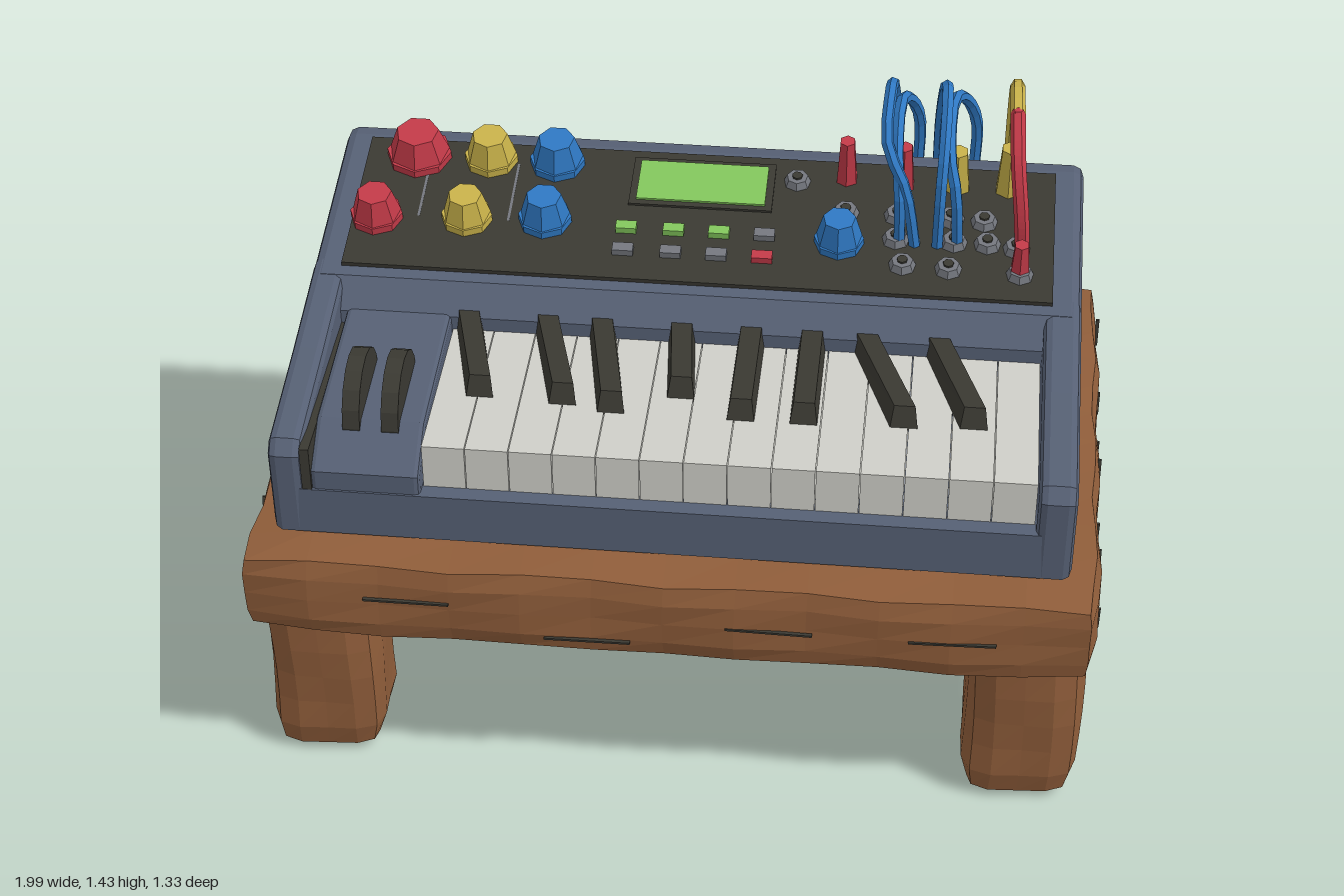
import * as THREE from 'three';

const mat = (name, color) => Object.assign(new THREE.MeshStandardMaterial({ color, flatShading: true }), { name });
const M = {
  wood: mat('wood', 0x8f5d3a),
  body: mat('slate casing', 0x566074),
  dark: mat('charcoal', 0x3a3932),
  ivory: mat('ivory', 0xcfcfc8),
  red: mat('red', 0xc23a48),
  yellow: mat('yellow', 0xc9b24a),
  blue: mat('blue', 0x2f78c2),
  green: mat('screen green', 0x82c65c),
  metal: mat('grey metal', 0x74777e),
};

function add(parent, name, geo, material, x = 0, y = 0, z = 0) {
  const m = new THREE.Mesh(geo, material);
  m.name = name;
  m.position.set(x, y, z);
  parent.add(m);
  return m;
}
const box = (w, h, d) => new THREE.BoxGeometry(w, h, d);

// Subdivided box with softened edges and slightly uneven, hewn faces
function hewn(w, h, d, n, r, wobble = 0.006) {
  const g = new THREE.BoxGeometry(w, h, d, ...n), p = g.attributes.position;
  const half = new THREE.Vector3(w / 2 - r, h / 2 - r, d / 2 - r), low = half.clone().negate();
  const v = new THREE.Vector3(), inner = new THREE.Vector3();
  for (let i = 0; i < p.count; i++) {
    v.fromBufferAttribute(p, i);
    inner.copy(v).clamp(low, half);
    v.sub(inner).normalize().multiplyScalar(r).add(inner);
    const { x, y, z } = v;
    v.x += wobble * Math.sin(17 * z + 9 * y);
    v.y += wobble * 0.6 * Math.sin(11 * x + 7 * z);
    v.z += wobble * Math.sin(13 * x + 15 * y);
    p.setXYZ(i, v.x, v.y, v.z);
  }
  g.computeVertexNormals();
  return g;
}

// Side profile of [z, y] points, run along x from x0 to x1 with bevelled ends
function profile(points, x0, x1, b = 0.02) {
  const shape = new THREE.Shape(points.map(([z, y]) => new THREE.Vector2(-z, y)));
  const g = new THREE.ExtrudeGeometry(shape, {
    depth: x1 - x0 - 2 * b, bevelEnabled: true, bevelSize: b, bevelThickness: b, bevelOffset: -b, bevelSegments: 2,
  });
  return g.rotateY(Math.PI / 2).translate(x0 + b, 0, 0);
}

function buildBench(root) {
  const bench = new THREE.Group();
  bench.name = 'bench';
  root.add(bench);
  add(bench, 'benchTop', hewn(1.98, 0.235, 1.31, [12, 4, 12], 0.045), M.wood, 0, 0.58, 0);
  for (const sx of [-1, 1]) for (const sz of [-1, 1])
    add(bench, 'leg', hewn(0.275, 0.5, 0.275, [4, 6, 4], 0.065, 0.004), M.wood, sx * 0.84, 0.253, sz * 0.43);
  for (const s of [-1, 1])
    add(bench, 'longRail', hewn(1.5, 0.16, 0.13, [8, 2, 2], 0.02, 0.004), M.wood, 0, 0.42, s * 0.42);
  add(bench, 'rightRail', hewn(0.12, 0.14, 0.66, [2, 2, 4], 0.02, 0.003), M.wood, -0.84, 0.3, 0);
  const braced = [[0.33, 0.23], [-0.33, 0.23], [-0.33, 0.475], [-0.3, 0.475], [-0.09, 0.37], [0.33, 0.37]];
  add(bench, 'leftRail', profile(braced, 0.78, 0.9, 0.012), M.wood);
  // Grooves between the planks underneath, and a few cracks on the edges
  for (let i = -6; i <= 6; i++)
    add(bench, 'plankGroove', box(1.35 - 0.1 * (i % 2), 0.006, 0.007), M.dark, 0.06 * Math.sin(i * 5), 0.459, i * 0.054);
  for (let i = 0; i < 4; i++) for (const s of [-1, 1]) {
    const x = -0.66 + i * 0.42 + 0.06 * s;
    add(bench, 'crack', box(0.2, 0.005, 0.009), M.dark, x, 0.56 + 0.045 * Math.sin(i * 4 + s), s * 0.658).rotation.z = 0.06 * Math.sin(i * 3);
  }
  for (let i = 0; i < 8; i++) for (const s of [-1, 1])
    add(bench, 'endCrack', box(0.009, 0.08 + 0.03 * Math.sin(i * 5), 0.006), M.dark,
      s * 0.992, 0.61 - 0.05 * (i % 2), -0.54 + i * 0.15).rotation.x = 0.25 * Math.sin(i * 3);
}

function buildCase(synth) {
  const main = [[0.555, 0.705], [0.555, 0.83], [0.06, 0.83], [0.06, 0.98], [0, 1.042],
    [-0.49, 1.128], [-0.53, 1.122], [-0.55, 1.09], [-0.568, 0.75], [-0.555, 0.705]];
  add(synth, 'casing', profile(main, -0.92, 0.92, 0.025), M.body);
  const cheek = [[0.555, 0.705], [0.56, 0.925], [0.53, 0.957], [0.24, 1.0], [-0.05, 1.05], [-0.05, 0.705]];
  add(synth, 'leftCheek', profile(cheek, 0.832, 0.92), M.body);
  add(synth, 'rightCheek', profile(cheek, -0.92, -0.84), M.body);
  const wheelBlock = [[0.55, 0.72], [0.55, 0.88], [0.44, 0.955], [0.04, 0.985], [0.04, 0.72]];
  add(synth, 'wheelBlock', profile(wheelBlock, -0.825, -0.572, 0.012), M.body);
  add(synth, 'cheekGap', box(0.022, 0.22, 0.5), M.dark, -0.833, 0.835, 0.304);
  add(synth, 'footPlate', box(1.8, 0.03, 1.08), M.dark, 0, 0.7, 0);
  for (const x of [-0.74, -0.65])
    add(synth, 'controlWheel', new THREE.CylinderGeometry(0.12, 0.12, 0.04, 16).rotateZ(Math.PI / 2), M.dark, x, 0.943, 0.345);
  // Connector plates on the rear
  for (const [x, y, w, h] of [[0.14, 1.0, 0.1, 0.05], [0.03, 0.99, 0.08, 0.06], [-0.07, 0.985, 0.07, 0.04], [0.03, 0.945, 0.22, 0.012], [-0.3, 0.97, 0.06, 0.025]])
    add(synth, 'rearPort', box(w, h, 0.009), M.dark, x, y, -0.568 + (y - 0.75) * 0.053).rotation.x = 0.053;
}

function buildKeys(synth) {
  const n = 14, pitch = 1.4 / n;
  for (let i = 0; i < n; i++)
    add(synth, 'whiteKey', box(pitch - 0.002, 0.125, 0.465), M.ivory, -0.57 + (i + 0.5) * pitch, 0.8825, 0.283);
  // Black keys, each leaning from its rear x to its front x
  const black = [[-0.53, -0.465, 0.32], [-0.34, -0.27, 0.33], [-0.21, -0.155, 0.35], [-0.02, 0, 0.28],
    [0.145, 0.145, 0.35], [0.29, 0.29, 0.35], [0.42, 0.52, 0.34], [0.59, 0.68, 0.33]];
  for (const [xb, xf, zf] of black) {
    const len = zf - 0.05, g = box(0.065, 0.055, len), p = g.attributes.position;
    for (let i = 0; i < p.count; i++) {
      const t = p.getZ(i) / len + 0.5, top = p.getY(i) > 0;
      p.setX(i, p.getX(i) * (top ? 0.75 : 1) + xb + (xf - xb) * t);
      if (top && t > 0.5) p.setZ(i, p.getZ(i) - 0.02);
    }
    g.computeVertexNormals();
    add(synth, 'blackKey', g, M.dark, 0, 0.967, 0.05 + len / 2);
  }
}

function buildPanel(synth) {
  // Sloping group: its local y is the panel normal
  const tilt = Math.atan(0.176), panel = new THREE.Group();
  panel.name = 'controlPanel';
  panel.position.set(0, 1.086, -0.25);
  panel.rotation.x = tilt;
  synth.add(panel);
  const put = (name, geo, material, x, y, z) => add(panel, name, geo, material, x, y, (z + 0.25) / Math.cos(tilt));
  put('panelPlate', box(1.7, 0.018, 0.445), M.dark, 0, 0.002, -0.25);

  // Faceted knobs
  const knobs = [['red', -0.72, -0.41, 0.08], ['red', -0.79, -0.19, 0.064], ['yellow', -0.54, -0.41, 0.066], ['yellow', -0.57, -0.2, 0.062],
    ['blue', -0.375, -0.41, 0.068], ['blue', -0.38, -0.21, 0.065], ['blue', 0.335, -0.19, 0.06]];
  for (const [c, x, z, r] of knobs) {
    put('knobSkirt', new THREE.CylinderGeometry(r, r, 0.02, 8), M[c], x, 0.02, z);
    put('knob', new THREE.CylinderGeometry(r * 0.66, r * 0.95, 0.065, 7), M[c], x, 0.06, z);
  }

  // Screen and small buttons
  put('screenFrame', box(0.35, 0.008, 0.165), M.dark, -0.01, 0.013, -0.36);
  put('screen', box(0.315, 0.009, 0.135), M.green, -0.01, 0.018, -0.36);
  [-0.18, -0.065, 0.045, 0.155].forEach((x, i) => {
    put('upperButton', box(0.05, 0.02, 0.028), i < 3 ? M.green : M.metal, x, 0.018, -0.195);
    put('lowerButton', box(0.05, 0.02, 0.028), i < 3 ? M.metal : M.red, x, 0.018, -0.12);
  });
  for (const [x, z] of [[-0.69, -0.3], [-0.47, -0.3]])
    put('divider', box(0.006, 0.006, 0.2), M.metal, x, 0.009, z);

  // Patch sockets
  const sockets = [[0.22, -0.39], [0.345, -0.29], [0.47, -0.29], [0.6, -0.29], [0.68, -0.285], [0.47, -0.21], [0.61, -0.21],
    [0.69, -0.21], [0.76, -0.2], [0.49, -0.125], [0.6, -0.12], [0.77, -0.115]];
  for (const [x, z] of sockets) {
    put('socketRing', new THREE.CylinderGeometry(0.026, 0.034, 0.02, 7), M.metal, x, 0.02, z);
    put('socketHole', new THREE.CylinderGeometry(0.013, 0.013, 0.008, 7), M.dark, x, 0.031, z);
  }

  // Plugs standing in the sockets
  const plugs = [['red', 0.34, -0.41, 0.13, 0.028], ['red', 0.48, -0.4, 0.13, 0.028], ['yellow', 0.61, -0.405, 0.12, 0.034],
    ['yellow', 0.735, -0.405, 0.14, 0.034], ['red', 0.77, -0.12, 0.1, 0.026]];
  for (const [c, x, z, h, r] of plugs)
    put('plug', new THREE.CylinderGeometry(r * 0.7, r, h, 6), M[c], x, h / 2 + 0.008, z);
}

function buildCables(synth) {
  const cable = (name, material, pts, r = 0.015) => {
    const curve = new THREE.CatmullRomCurve3(pts.map((p) => new THREE.Vector3(...p)));
    add(synth, name, new THREE.TubeGeometry(curve, 22, r, 6), material);
    for (const end of [pts[0], pts[pts.length - 1]])
      add(synth, name + 'End', new THREE.SphereGeometry(r, 6, 4), material, ...end);
  };
  // Blue cables: socket x, crest x, hanging x, crest height, lower end
  for (const [a, b, c, top, low] of [[0.52, 0.44, 0.45, 1.415, 0.84], [0.48, 0.465, 0.51, 1.38, 0.74], [0.57, 0.575, 0.56, 1.415, 0.85], [0.62, 0.59, 0.65, 1.39, 0.82]])
    cable('blueCable', M.blue, [[a, 1.06, -0.2], [a * 0.6 + b * 0.4, 1.24, -0.2], [b, top - 0.08, -0.245], [b, top, -0.36],
      [b * 0.5 + c * 0.5, top - 0.06, -0.48], [c, 1.22, -0.55], [c, 1.05, -0.582], [c, low, -0.588]]);
  const crest = [0.742, 1.405, -0.3];
  cable('redCable', M.red, [[0.775, 1.07, -0.19], [0.765, 1.2, -0.18], [0.75, 1.32, -0.215], crest], 0.018);
  cable('yellowCable', M.yellow, [crest, [0.74, 1.418, -0.37], [0.74, 1.385, -0.46], [0.74, 1.28, -0.535], [0.74, 1.12, -0.578],
    [0.74, 0.95, -0.59], [0.74, 0.75, -0.58]], 0.018);
  for (const x of [0.51, 0.74])
    add(synth, 'rearPlug', new THREE.CylinderGeometry(0.02, 0.016, 0.06, 6), M.red, x, 0.745, -0.585);
}

export function createModel() {
  const root = new THREE.Group();
  root.name = 'synthesizerOnBench';
  buildBench(root);
  const synth = new THREE.Group();
  synth.name = 'synthesizer';
  root.add(synth);
  buildCase(synth);
  buildKeys(synth);
  buildPanel(synth);
  buildCables(synth);
  return root;
}
